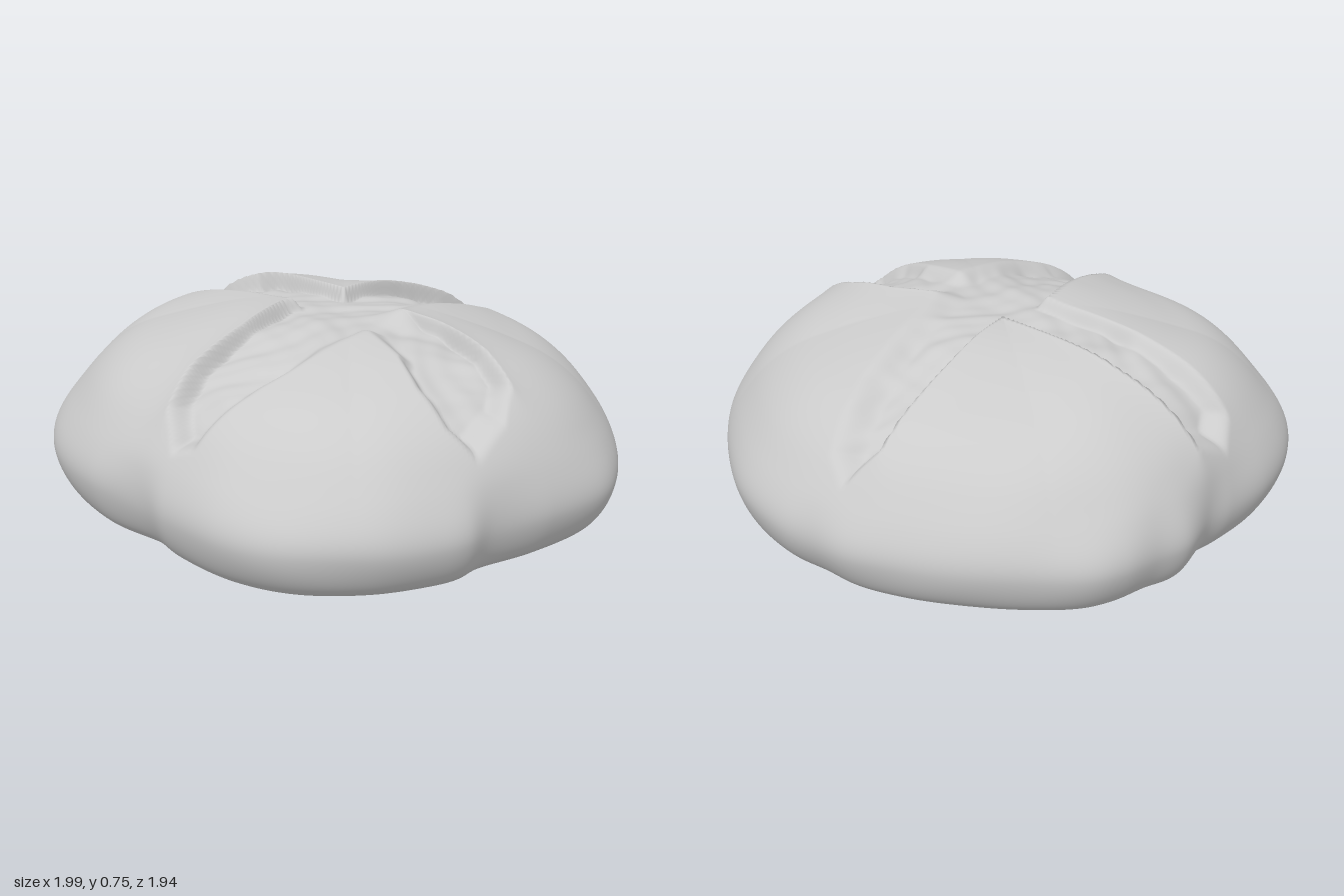
import * as THREE from 'three';

// Plan outline of the loaf (x, z), counter-clockwise from the back
const OUTLINE = [
  [0.15, -0.965], [0, -0.96], [-0.15, -0.96], [-0.3, -0.92], [-0.45, -0.855], [-0.69, -0.71],
  [-0.86, -0.56], [-0.92, -0.45], [-0.955, -0.32], [-0.995, -0.2], [-0.965, -0.02], [-0.98, 0.09],
  [-0.985, 0.3], [-0.93, 0.53], [-0.8, 0.735], [-0.555, 0.9], [-0.235, 0.968], [0.04, 0.935],
  [0.19, 0.953], [0.46, 0.93], [0.68, 0.83], [0.86, 0.63], [0.95, 0.43], [0.975, 0.32],
  [0.96, 0.2], [0.995, -0.05], [0.985, -0.32], [0.91, -0.47], [0.73, -0.67], [0.49, -0.855],
  [0.34, -0.925],
];

// Half section: fraction of the plan radius, height
const PROFILE = [
  [0, 0.002], [0.8, 0.012], [0.88, 0.025], [0.95, 0.08], [1, 0.21], [0.97, 0.36],
  [0.88, 0.51], [0.75, 0.62], [0.58, 0.69], [0.4, 0.722], [0.2, 0.735], [0, 0.738],
];

// Cross-shaped score (x, z, width of the wall on the edge that starts here)
const SCORE = [
  [-0.1, -0.08, 0.015], [-0.135, -0.4, 0.015], [-0.155, -0.78, 0.05], [-0.08, -0.89, 0.09],
  [0.03, -0.83, 0.12], [0.13, -0.56, 0.12], [0.235, -0.065, 0.02], [0.4, -0.1, 0.02],
  [0.62, -0.09, 0.03], [0.78, -0.05, 0.06], [0.87, 0.06, 0.08], [0.91, 0.21, 0.04],
  [0.8, 0.27, 0.05], [0.65, 0.26, 0.05], [0.49, 0.2, 0.07], [0.31, 0.17, 0.08], [0.32, 0.5, 0.08],
  [0.3, 0.65, 0.07], [0.25, 0.86, 0.06], [0.16, 0.89, 0.05], [0.05, 0.81, 0.03],
  [-0.01, 0.67, 0.02], [-0.06, 0.4, 0.015], [-0.12, 0.15, 0.04], [-0.5, 0.19, 0.05],
  [-0.88, 0.2, 0.07], [-0.94, 0.1, 0.06], [-0.9, -0.04, 0.02], [-0.6, -0.075, 0.015],
];

const smooth = THREE.MathUtils.smoothstep;

// Gentle unevenness of the crust, and rough crumb inside the score
const crust = (x, y, z) =>
  0.004 * Math.sin(5.1 * x + 2 * y + 1) * Math.sin(4.3 * z - 3 * y) + 0.002 * Math.sin(11 * x - 7 * z + 9 * y);
const crumb = (x, z) => {
  const u = x + 0.06 * Math.sin(9 * z + 1), v = z + 0.06 * Math.sin(8 * x);
  return 0.007 * Math.sin(21 * u) * Math.sin(18 * v + 1) + 0.003 * Math.sin(43 * v + 14 * u) * Math.sin(39 * u - 11 * v);
};

// Offset along the surface normal: sunk inside the score, raised lip along its crisp edges
function scoreOffset(x, z) {
  let inside = false, wall = 1, lip = Infinity;
  SCORE.forEach(([ax, az, w], i) => {
    const [bx, bz] = SCORE[(i + 1) % SCORE.length];
    if ((az > z) !== (bz > z) && x < ax + ((z - az) / (bz - az)) * (bx - ax)) inside = !inside;
    const ex = bx - ax, ez = bz - az;
    const t = THREE.MathUtils.clamp(((x - ax) * ex + (z - az) * ez) / (ex * ex + ez * ez), 0, 1);
    const d = Math.hypot(x - ax - t * ex, z - az - t * ez);
    wall = Math.min(wall, smooth(d, 0, w));
    if (w <= 0.03) lip = Math.min(lip, d);
  });
  const rise = 0.014 * Math.exp(-lip / 0.06);
  if (!inside) return rise;
  const depth = 0.035 + 0.02 * smooth(Math.hypot(x - 0.08, z - 0.05), 0.15, 0.6);
  return rise * (1 - wall) - wall * (depth + crumb(x, z));
}

function loafGeometry(columns = 500, perSegment = 12) {
  const plan = new THREE.CatmullRomCurve3(OUTLINE.map(([x, z]) => new THREE.Vector3(x, 0, z)), true)
    .getSpacedPoints(columns).slice(0, columns);
  // Softened plan for the upper crust, so the pinches fade upwards
  const softPlan = plan.map((_, j) => {
    const sum = new THREE.Vector3();
    for (let k = -24; k <= 24; k++) sum.add(plan[(j + k + columns) % columns]);
    return sum.multiplyScalar(1.005 / 49);
  });
  const rings = perSegment * (PROFILE.length - 1);
  const section = new THREE.CatmullRomCurve3(PROFILE.map(([s, y]) => new THREE.Vector3(s, y, 0))).getPoints(rings);
  const positions = [], index = [];

  section.forEach(({ x: s, y: h }, i) => {
    // Section normal, turned straight up or down at the poles
    const a = section[Math.max(i - 1, 0)], b = section[Math.min(i + 1, rings)];
    const n = new THREE.Vector2(b.y - a.y, a.x - b.x).normalize();
    if (i === 0 || i === rings) n.x = 0;
    const top = smooth(h, 0.25, 0.42);
    const shoulder = smooth(s, 0.2, 0.65) * smooth(h, 0.2, 0.5);

    for (let j = 0; j < columns; j++) {
      const p = plan[j].clone().lerp(softPlan[j], smooth(h, 0.2, 0.45)), r = p.length();
      const x = p.x * s, z = p.z * s;
      // The shoulders slope lower towards the corners, front and back
      const sag = 0.042 * Math.min(1, 2.5 * (p.z / r) ** 2) * shoulder;
      const y = h * (1 + 0.03 * z - 0.015 * x) - sag;
      const off = (top > 0 ? top * scoreOffset(x, z) : 0) + crust(x, y, z) * smooth(h, 0.03, 0.2);
      positions.push(x + (p.x / r) * n.x * off, y + n.y * off, z + (p.z / r) * n.x * off);
      if (i === rings) continue;
      const k = i * columns + j, k1 = i * columns + ((j + 1) % columns);
      if (i > 0) index.push(k, k1, k1 + columns);
      if (i < rings - 1) index.push(k, k1 + columns, k + columns);
    }
  });

  const geometry = new THREE.BufferGeometry();
  geometry.setAttribute('position', new THREE.Float32BufferAttribute(positions, 3));
  geometry.setIndex(index);
  geometry.computeVertexNormals();
  return geometry;
}

export function createModel() {
  const group = new THREE.Group();
  group.name = 'breadLoaf';
  const loaf = new THREE.Mesh(loafGeometry(), new THREE.MeshStandardMaterial({ color: 0xcccccc }));
  loaf.name = 'scoredLoaf';
  group.add(loaf);
  return group;
}
